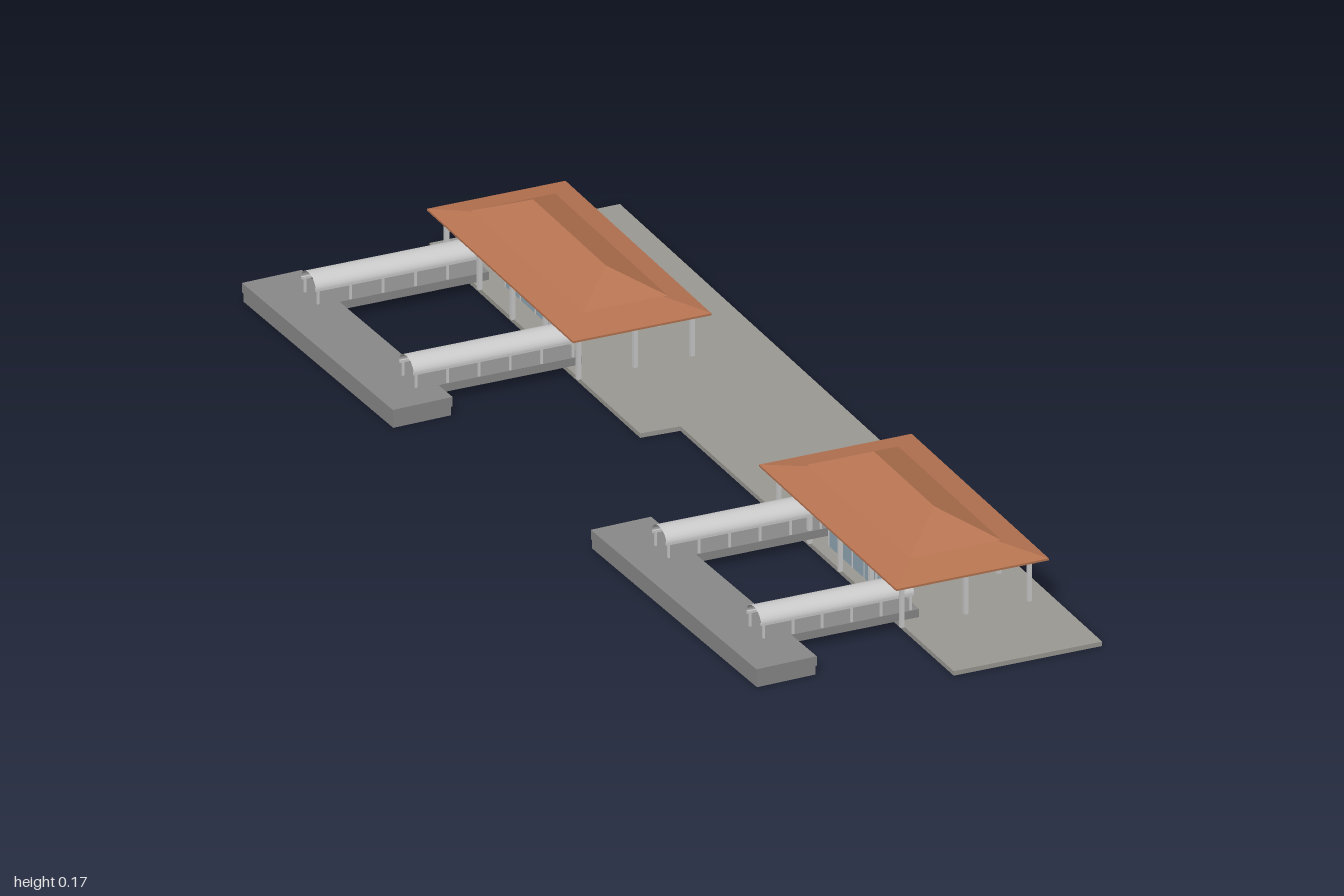
import * as THREE from 'three';

const mat = (color, extra = {}) => new THREE.MeshStandardMaterial({ color, ...extra });
const grey = mat(0xcccccc);
const vaultMat = mat(0xcccccc, { side: THREE.DoubleSide });
const paving = mat(0x9c9a94);
const concrete = mat(0x8a8a8a, { side: THREE.DoubleSide });
const tile = mat(0xb87552);
const glass = mat(0x94aab8);

function add(parent, name, geometry, material, x = 0, y = 0, z = 0) {
  const mesh = new THREE.Mesh(geometry, material);
  mesh.name = name;
  mesh.position.set(x, y, z);
  parent.add(mesh);
  return mesh;
}

// Box given by centre and size in plan, and its bottom and top heights
function block(parent, name, material, x, z, w, d, y0, y1) {
  return add(parent, name, new THREE.BoxGeometry(w, y1 - y0, d), material, x, (y0 + y1) / 2, z);
}

// Tapered block: a rectangle at the bottom and a smaller one at the top
function hip(parent, name, material, base, top, y0, y1) {
  const geo = new THREE.BoxGeometry(1, y1 - y0, 1).toNonIndexed();
  const p = geo.attributes.position;
  for (let i = 0; i < p.count; i++) {
    const [l, w] = p.getY(i) > 0 ? top : base;
    p.setX(i, p.getX(i) * l);
    p.setZ(i, p.getZ(i) * w);
  }
  geo.computeVertexNormals();
  return add(parent, name, geo, material, 0, (y0 + y1) / 2, 0);
}

// Covered walkway running along +z from z0 to z1
function walkway(parent, x, z0, z1) {
  const g = new THREE.Group();
  g.name = 'walkway';
  g.position.x = x;
  parent.add(g);
  const len = z1 - z0, mid = (z0 + z1) / 2, r = 0.031;
  block(g, 'walkwayDeck', concrete, 0, mid - 0.02, 0.062, len - 0.02, 0.018, 0.034);

  // Barrel vault roof
  const vault = new THREE.CylinderGeometry(r, r, len, 12, 1, true, -Math.PI / 2, Math.PI);
  vault.rotateX(-Math.PI / 2);
  vault.scale(1, 0.75, 1);
  add(g, 'vaultRoof', vault, vaultMat, 0, 0.066, mid);

  for (const s of [-1, 1]) {
    block(g, 'vaultBeam', grey, s * 0.029, mid, 0.004, len, 0.063, 0.068);
    for (let i = 0; i < 6; i++) {
      block(g, 'walkwayPost', grey, s * 0.028, z0 + 0.006 + (len - 0.012) * i / 5, 0.004, 0.004, 0.03, 0.066);
    }
  }
}

function pavilion(name, o) {
  const g = new THREE.Group();
  g.name = name;
  g.position.set(o.x, 0, o.z);
  g.rotation.y = -1.054;
  const { length: L, width: W, upper, ridge, top, eave } = o;
  const l = L - 0.06, w = W - 0.05;

  // Perimeter posts and ring beam
  for (const s of [-1, 1]) {
    for (let i = 0; i < 5; i++) block(g, 'post', grey, -l / 2 + l * i / 4, s * w / 2, 0.008, 0.008, 0.008, 0.097);
    block(g, 'endPost', grey, s * l / 2, 0, 0.008, 0.008, 0.008, 0.097);
    block(g, 'sideBeam', grey, 0, s * w / 2, l, 0.008, 0.09, 0.098);
    block(g, 'endBeam', grey, s * l / 2, 0, 0.008, w, 0.09, 0.098);
  }

  // Glazed room with mullions
  const [gl, gw] = o.room;
  block(g, 'glazedRoom', glass, 0, 0, gl, gw, 0.01, 0.078);
  for (const s of [-1, 1]) {
    for (let i = 0; i < 5; i++) block(g, 'mullion', grey, -gl / 2 + gl * i / 4, s * gw / 2, 0.003, 0.003, 0.01, 0.078);
    block(g, 'endMullion', grey, s * gl / 2, 0, 0.003, 0.003, 0.01, 0.078);
  }

  // Two-tier tiled roof
  block(g, 'eaveBoard', tile, 0, 0, L, W, 0.097, 0.101);
  hip(g, 'lowerRoof', tile, [L, W], [upper[0] - 0.03, upper[1] - 0.03], 0.101, eave);
  hip(g, 'upperRoof', tile, upper, [ridge, 0.001], eave, top);

  for (const [x, end] of o.walks) walkway(g, x, 0.1, end);
  return g;
}

// Raised landing: a slab on thin edge walls, open beneath
function landing(x, z, length, width) {
  const g = new THREE.Group();
  g.name = 'landing';
  g.position.set(x, 0, z);
  g.rotation.y = -1.024;
  block(g, 'landingSlab', concrete, 0, 0, length, width, 0.018, 0.037);
  for (const s of [-1, 1]) {
    block(g, 'landingSideWall', concrete, 0, s * (width / 2 - 0.006), length - 0.004, 0.008, 0, 0.018);
    block(g, 'landingEndWall', concrete, s * (length / 2 - 0.006), 0, 0.008, width - 0.004, 0, 0.018);
  }
  return g;
}

export function createModel() {
  const model = new THREE.Group();
  model.name = 'waterfrontPavilions';

  // Stepped paved terrace
  const outline = [[-0.18, -1], [-0.51, -0.81], [-0.07, -0.04], [0, -0.075], [0.57, 0.915], [0.827, 0.77]];
  const shape = new THREE.Shape(outline.map(([x, z]) => new THREE.Vector2(x, -z)));
  const slab = new THREE.ExtrudeGeometry(shape, { depth: 0.009, bevelEnabled: false });
  slab.rotateX(-Math.PI / 2);
  add(model, 'terrace', slab, paving);

  model.add(pavilion('backPavilion', {
    x: -0.238, z: -0.56, length: 0.617, width: 0.276, upper: [0.475, 0.168], ridge: 0.308,
    eave: 0.117, top: 0.158, room: [0.25, 0.135], walks: [[-0.18, 0.435], [0.213, 0.425]],
  }));
  model.add(pavilion('frontPavilion', {
    x: 0.444, z: 0.445, length: 0.58, width: 0.304, upper: [0.435, 0.182], ridge: 0.256,
    eave: 0.119, top: 0.166, room: [0.2, 0.205], walks: [[-0.155, 0.415], [0.224, 0.405]],
  }));

  model.add(landing(-0.622, -0.333, 0.6, 0.121), landing(0.1, 0.68, 0.659, 0.122));
  return model;
}
